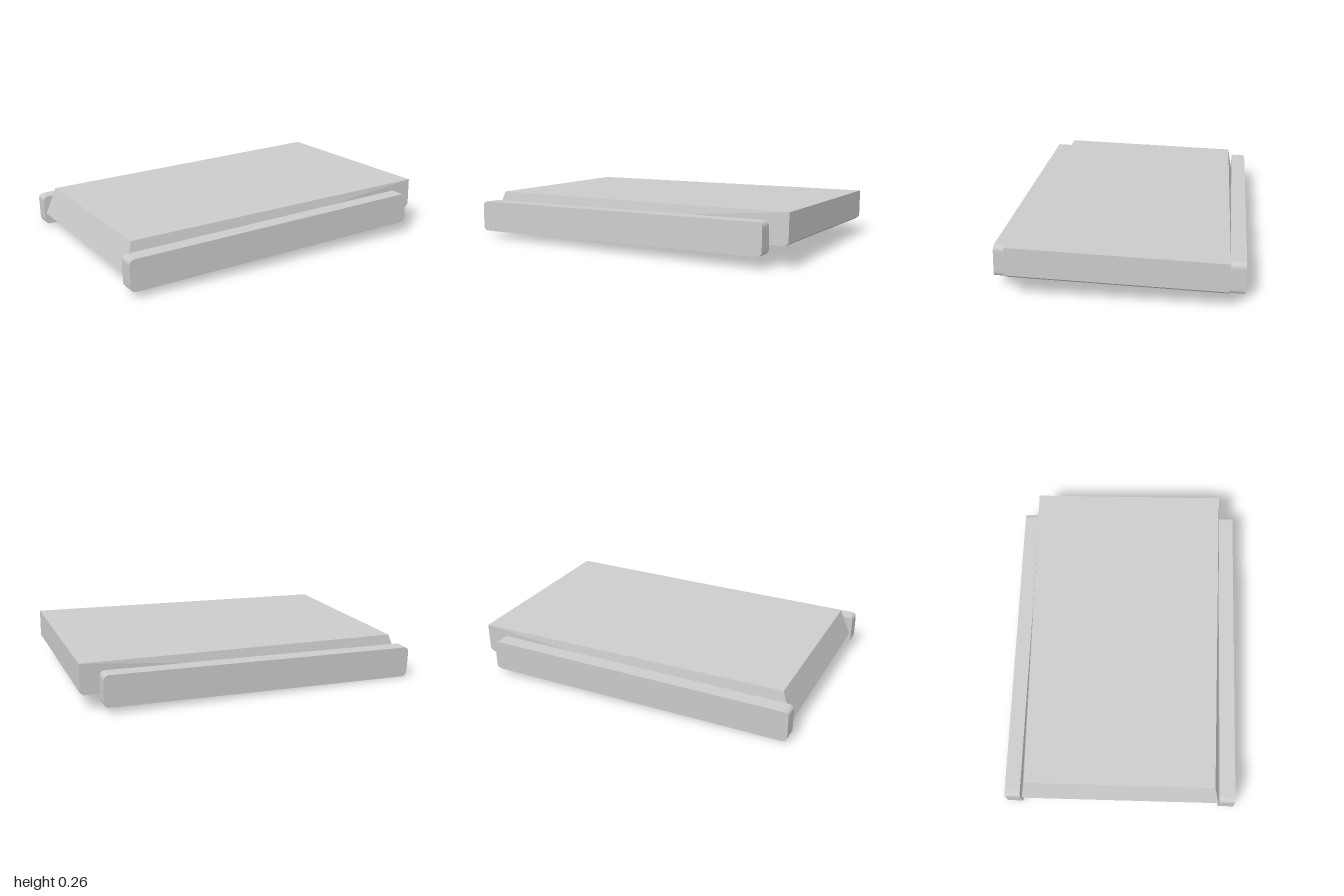
import * as THREE from 'three';

const material = new THREE.MeshStandardMaterial({ color: 0xcccccc, flatShading: true });

// Extrudes a side profile (x = toward the back, y = up) across the width from x0 to x1
function acrossWidth(shape, x0, x1) {
  const geo = new THREE.ExtrudeGeometry(shape, { depth: x1 - x0, bevelEnabled: false, curveSegments: 5 });
  geo.translate(0, 0, x0);
  geo.rotateY(Math.PI / 2);
  return geo;
}

function addMesh(parent, geo, name) {
  const mesh = new THREE.Mesh(geo, material);
  mesh.name = name;
  parent.add(mesh);
}

// Long bar with rounded ends
function railShape(back, front, height, r) {
  const s = new THREE.Shape();
  s.moveTo(front + r, 0);
  s.lineTo(back - r, 0);
  s.quadraticCurveTo(back, 0, back, r);
  s.lineTo(back, height - r);
  s.quadraticCurveTo(back, height, back - r, height);
  s.lineTo(front + r, height);
  s.quadraticCurveTo(front, height, front, height - r);
  s.lineTo(front, r);
  s.quadraticCurveTo(front, 0, front + r, 0);
  return s;
}

export function createModel() {
  const model = new THREE.Group();
  model.name = 'railedSlab';

  // The whole piece is turned and rests slightly tilted
  const body = new THREE.Group();
  body.name = 'tiltedBody';
  body.rotation.set(0.018, -0.426, 0.027, 'YXZ');
  body.position.set(0, 0.031, 0);
  model.add(body);

  // Slab: sloped front end, small bevel under the back edge
  const profile = new THREE.Shape([
    [-0.811, 0.06], [0.85, 0.044], [0.868, 0.058], [0.87, 0.196], [-0.758, 0.2],
  ].map(([a, b]) => new THREE.Vector2(a, b)));
  const slab = acrossWidth(profile, -0.505, 0.505);

  // Top face narrows toward the front
  const pos = slab.attributes.position;
  for (let i = 0; i < pos.count; i++) {
    if (pos.getY(i) > 0.1) {
      const t = (pos.getZ(i) + 0.87) / 1.63;
      pos.setX(i, pos.getX(i) * (1 - 0.05 * t));
    }
  }
  slab.translate(0.007, 0, 0);
  slab.computeVertexNormals();
  addMesh(body, slab, 'slab');

  // Side rails
  const rail = railShape(0.775, -0.82, 0.155, 0.028);
  addMesh(body, acrossWidth(rail, 0.511, 0.59), 'leftRail');
  addMesh(body, acrossWidth(rail, -0.573, -0.496), 'rightRail');

  return model;
}
